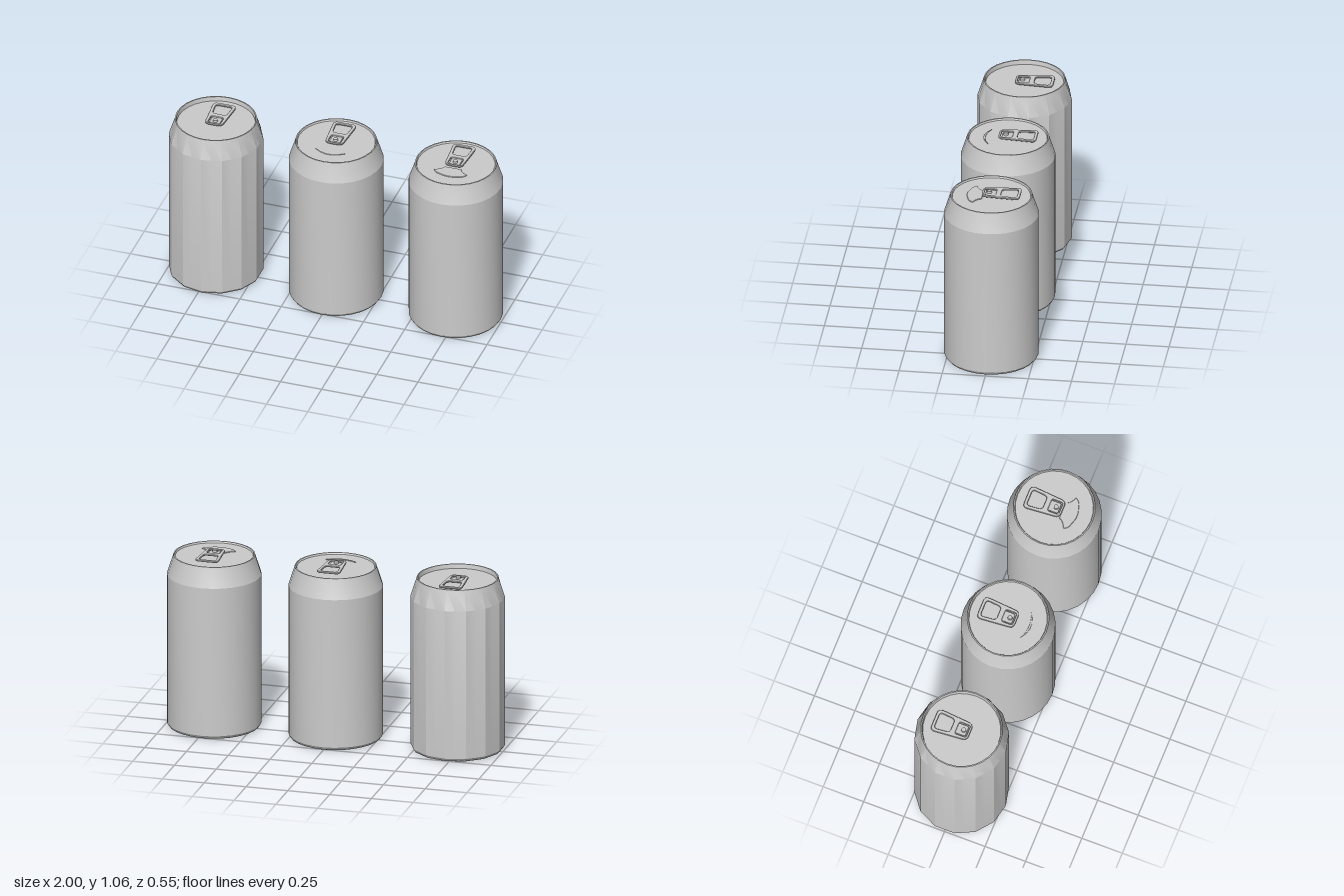
import * as THREE from 'three';
import { toCreasedNormals } from 'three/addons/utils/BufferGeometryUtils.js';

const material = new THREE.MeshStandardMaterial({ color: 0xcccccc });
const SIDES = 28;

function addPart(group, name, geometry, y = 0) {
  const mesh = new THREE.Mesh(geometry, material);
  mesh.name = name;
  mesh.position.y = y;
  group.add(mesh);
  return mesh;
}

// Closed can surface: domed base, wall, sloping shoulder, thin rim, recessed lid.
function canBody(lidY, coarse) {
  const profile = [
    [0, 0.055], [0.09, 0.05], [0.17, 0.035], [0.225, 0.012], [0.238, 0.002], [0.25, 0],
    [0.262, 0.005], [0.273, 0.022], [0.273, 0.92], [0.238, 1.028], [0.236, 1.038],
    [0.229, 1.038], [0.225, lidY], [0, lidY],
  ].map(([r, y]) => new THREE.Vector2(r, y));
  const geometry = new THREE.LatheGeometry(profile, SIDES);
  if (coarse) {
    // Pull every other wall line onto the chord, so the wall has half the sides.
    const pos = geometry.attributes.position;
    const chord = Math.cos((2 * Math.PI) / SIDES);
    for (let i = 0; i < pos.count; i++) {
      const line = Math.floor(i / profile.length);
      if (line % 2 && pos.getY(i) < 0.95) {
        pos.setX(i, pos.getX(i) * chord);
        pos.setZ(i, pos.getZ(i) * chord);
      }
    }
  }
  return toCreasedNormals(geometry, 0.3);
}

// Four-cornered outline with rounded corners; shape y points to the back.
function roundedQuad(Target, corners, r) {
  const path = new Target();
  const points = corners.map(([x, y]) => new THREE.Vector2(x, y));
  points.forEach((p, i) => {
    const prev = points[(i + points.length - 1) % points.length];
    const next = points[(i + 1) % points.length];
    const a = prev.clone().sub(p).setLength(r).add(p);
    const b = next.clone().sub(p).setLength(r).add(p);
    if (i) path.lineTo(a.x, a.y);
    else path.moveTo(a.x, a.y);
    path.quadraticCurveTo(p.x, p.y, b.x, b.y);
  });
  path.closePath();
  return path;
}

// Flat plate lying on the lid.
function plate(shape, height, bevel = 0.002) {
  const geometry = new THREE.ExtrudeGeometry(shape, {
    depth: height - 2 * bevel, curveSegments: 5,
    bevelEnabled: true, bevelThickness: bevel, bevelSize: bevel, bevelOffset: -bevel, bevelSegments: 1,
  });
  return geometry.translate(0, 0, bevel).rotateX(-Math.PI / 2);
}

const trapezoid = (front, back, y0, y1) => [[-front, y0], [front, y0], [back, y1], [-back, y1]];

function pullTab() {
  const tab = new THREE.Group();
  tab.name = 'pullTab';
  const outline = roundedQuad(THREE.Shape, trapezoid(0.053, 0.071, -0.053, 0.17), 0.03);
  outline.holes.push(
    roundedQuad(THREE.Path, trapezoid(0.042, 0.051, 0.058, 0.152), 0.02),
    roundedQuad(THREE.Path, trapezoid(0.038, 0.038, -0.04, 0.028), 0.012),
  );
  addPart(tab, 'tabRing', plate(outline, 0.01), 0.016);
  // Hinged tongue that holds the rivet
  const tongue = roundedQuad(THREE.Shape, trapezoid(0.033, 0.033, -0.034, 0.032), 0.012);
  addPart(tab, 'tabTongue', plate(tongue, 0.007), 0.013);
  const rivet = new THREE.CylinderGeometry(0.013, 0.017, 0.032, 12);
  addPart(tab, 'rivet', rivet, 0.016).position.z = 0.012;
  return tab;
}

// Raised mouth panel in front of the tab
function mouthPanel() {
  const shape = new THREE.Shape();
  shape.moveTo(-0.05, -0.05);
  shape.lineTo(0.05, -0.05);
  shape.quadraticCurveTo(0.06, -0.08, 0.1, -0.095);
  shape.quadraticCurveTo(0.09, -0.125, 0.055, -0.13);
  shape.quadraticCurveTo(0, -0.155, -0.055, -0.13);
  shape.quadraticCurveTo(-0.09, -0.125, -0.1, -0.095);
  shape.quadraticCurveTo(-0.06, -0.08, -0.05, -0.05);
  return plate(shape, 0.006);
}

// Shallow crescent ridge on a closed lid
function scoreRidge() {
  const shape = new THREE.Shape();
  shape.moveTo(-0.09, -0.105);
  shape.quadraticCurveTo(0, -0.18, 0.09, -0.105);
  shape.quadraticCurveTo(0, -0.155, -0.09, -0.105);
  return plate(shape, 0.004, 0.001);
}

export function createModel() {
  const model = new THREE.Group();
  model.name = 'drinkCans';
  const cans = [
    { name: 'rightCan', x: -0.73, lidY: 1.012, coarse: true },
    { name: 'middleCan', x: 0, lidY: 1.028, ridge: true },
    { name: 'leftCan', x: 0.727, lidY: 1.028, mouth: true },
  ];
  for (const { name, x, lidY, coarse, ridge, mouth } of cans) {
    const can = new THREE.Group();
    can.name = name;
    can.position.x = x;
    addPart(can, 'canBody', canBody(lidY, coarse));
    const tab = pullTab();
    tab.position.y = coarse ? lidY - 0.006 : lidY;
    can.add(tab);
    if (ridge) addPart(can, 'scoreRidge', scoreRidge(), lidY);
    if (mouth) addPart(can, 'mouthPanel', mouthPanel(), lidY);
    model.add(can);
  }
  return model;
}
